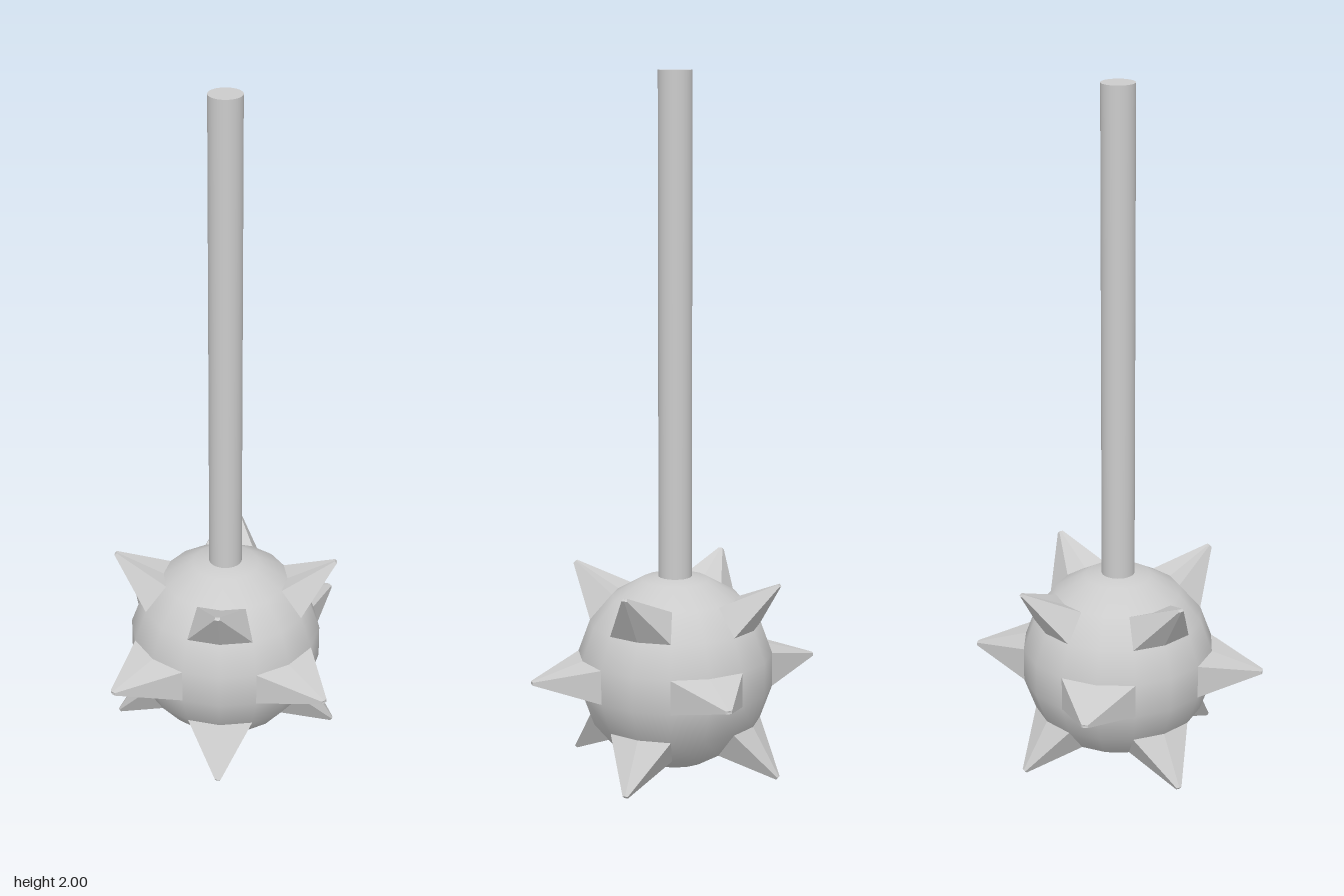
import * as THREE from 'three';

const R = 0.285;        // ball radius
const CENTRE_Y = 0.29;  // ball centre height
const RAD = Math.PI / 180;

// Point at an azimuth (0 = front, + towards +x) and elevation in degrees
function polar(az, el, r) {
  const h = r * Math.cos(el * RAD);
  return new THREE.Vector3(h * Math.sin(az * RAD), r * Math.sin(el * RAD), h * Math.cos(az * RAD));
}

// Blunt pyramid whose base is a 45 x 20 degree patch of the ball
function spikeGeometry(az, el) {
  const base = [[-1, -1], [0, -1], [1, -1], [1, 1], [0, 1], [-1, 1]]
    .map(([u, v]) => polar(az + u * 22.5, el + v * 10, R));
  const middle = base.reduce((s, p) => s.add(p), new THREE.Vector3()).divideScalar(base.length);
  const apex = polar(az, el * 1.03, 0.431);
  const tip = base.map(p => p.clone().sub(middle).multiplyScalar(0.09).add(apex));
  const points = [];
  base.forEach((p, i) => {
    const j = (i + 1) % base.length;
    points.push(p, base[j], tip[j], p, tip[j], tip[i]); // flank
    points.push(apex, tip[i], tip[j]);                  // blunt end
  });
  const geometry = new THREE.BufferGeometry().setFromPoints(points);
  geometry.computeVertexNormals();
  return geometry;
}

export function createModel() {
  const model = new THREE.Group();
  model.name = 'spikedMace';
  const smooth = new THREE.MeshStandardMaterial({ color: 0xcccccc });
  const flat = new THREE.MeshStandardMaterial({ color: 0xcccccc, flatShading: true });

  // Ball head
  const ball = new THREE.Mesh(new THREE.SphereGeometry(R, 16, 9), smooth);
  ball.name = 'ball';
  ball.position.y = CENTRE_Y;
  model.add(ball);

  // Handle shaft
  const bottom = 0.5;
  const handle = new THREE.Mesh(new THREE.CylinderGeometry(0.048, 0.048, 2 - bottom, 32), smooth);
  handle.name = 'handle';
  handle.position.y = (2 + bottom) / 2;
  model.add(handle);

  // Spikes: four around the equator, four diagonal ones above and below
  const spikes = new THREE.Group();
  spikes.name = 'spikes';
  spikes.position.y = CENTRE_Y;
  for (const [row, el, start] of [['upper', 40, 45], ['middle', 0, 0], ['lower', -40, 45]]) {
    for (let i = 0; i < 4; i++) {
      const spike = new THREE.Mesh(spikeGeometry(start + i * 90, el), flat);
      spike.name = `${row}Spike${i + 1}`;
      spikes.add(spike);
    }
  }
  model.add(spikes);
  return model;
}
